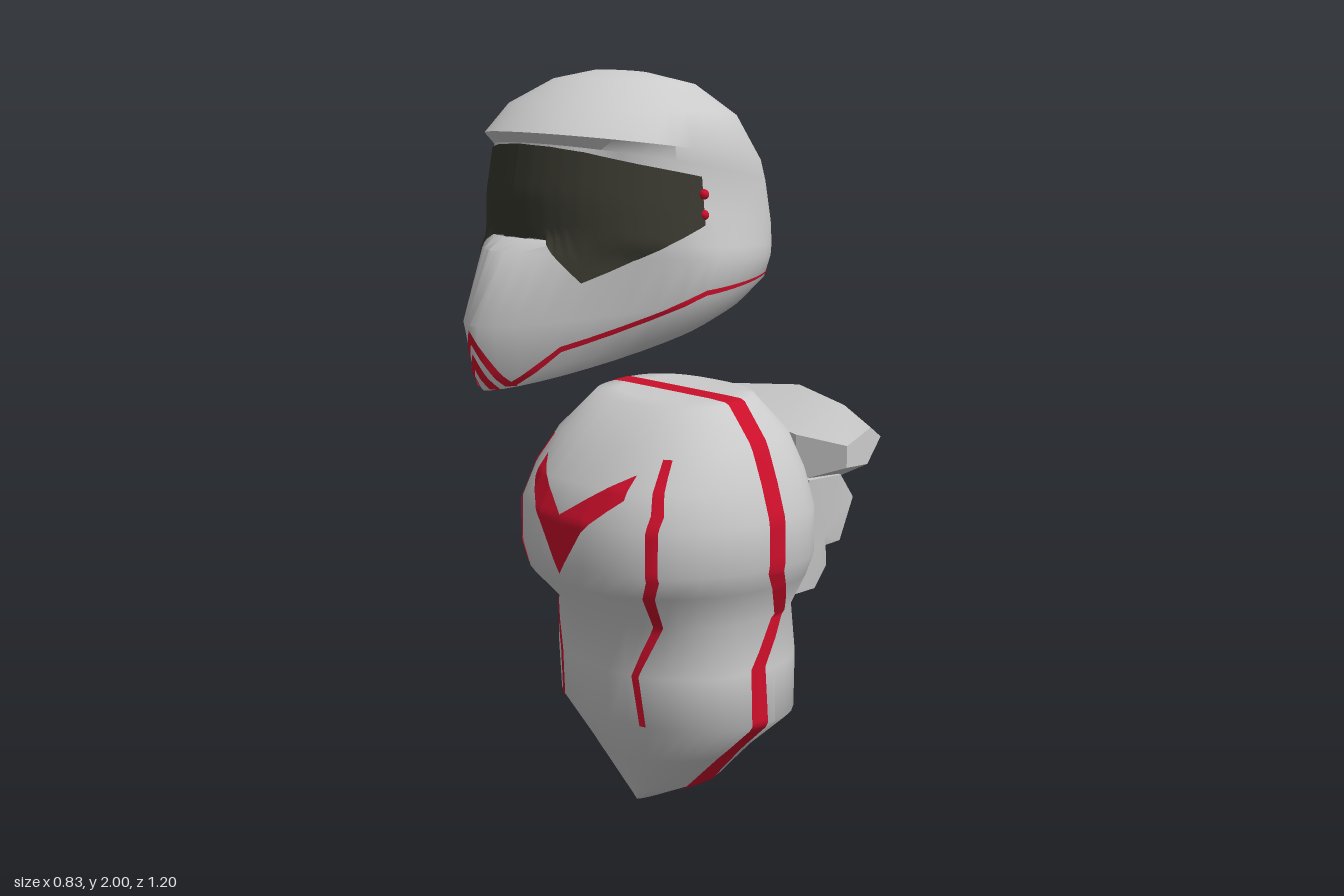
import * as THREE from 'three';
import { toCreasedNormals } from 'three/addons/utils/BufferGeometryUtils.js';

const grey = new THREE.MeshStandardMaterial({ color: 0xcccccc, side: THREE.DoubleSide });
const red = new THREE.MeshStandardMaterial({ color: 0xcc0f2b, side: THREE.DoubleSide });
const dark = new THREE.MeshStandardMaterial({ color: 0x38382f, side: THREE.DoubleSide });

// Skin a list of closed rings (arrays of Vector3) and cap both ends.
function loft(name, rings, crease) {
  const n = rings[0].length, last = rings.length - 1, pos = [], idx = [];
  const mid = r => r.reduce((s, p) => s.add(p), new THREE.Vector3()).divideScalar(n);
  rings.forEach(r => r.forEach(p => pos.push(p.x, p.y, p.z)));
  pos.push(...mid(rings[0]).toArray(), ...mid(rings[last]).toArray());
  for (let j = 0; j < n; j++) {
    const k = (j + 1) % n;
    for (let i = 0; i < last; i++) {
      const a = i * n + j, b = i * n + k;
      idx.push(a, b, b + n, a, b + n, a + n);
    }
    idx.push((last + 1) * n, k, j, (last + 1) * n + 1, last * n + j, last * n + k);
  }
  const g = new THREE.BufferGeometry();
  g.setAttribute('position', new THREE.Float32BufferAttribute(pos, 3));
  g.setIndex(idx);
  const mesh = new THREE.Mesh(toCreasedNormals(g, crease), grey);
  mesh.name = name;
  return mesh;
}

// Tilted ring: front y/z, back y/z, half width, z of the widest point, front and back roundness.
function ring([yf, zf, yb, zb, hw, zc, ef, eb], n = 36) {
  const pw = (v, e) => Math.sign(v) * Math.abs(v) ** (2 / e);
  return Array.from({ length: n }, (_, j) => {
    const a = (j / n) * Math.PI * 2, c = Math.cos(a), e = c > 0 ? ef : eb;
    const z = zc + (c > 0 ? zf - zc : zc - zb) * pw(c, e);
    return new THREE.Vector3(hw * pw(Math.sin(a), e), yb + (yf - yb) * (z - zb) / (zf - zb), z);
  });
}

// Rays that lay flat markings onto a surface: [origin, direction] for a 2D point.
const V = (x, y, z) => new THREE.Vector3(x, y, z);
const fromFront = s => (u, v) => [V(s * u, v, 3), V(0, 0, -1)];
const fromBack = s => (u, v) => [V(s * u, v, -3), V(0, 0, 1)];
const fromSide = s => (u, v) => [V(s * 3, v, u), V(-s, 0, 0)];
const fromTop = s => (u, v) => [V(s * u, 3, v), V(0, -1, 0)];
const fromRound = s => (u, v) => {
  const a = s * THREE.MathUtils.degToRad(u), d = V(Math.sin(a), 0, Math.cos(a));
  return [V(0, v, 0.1).addScaledVector(d, 3), d.clone().negate()];
};

// A strip between two edge paths, laid just above the target surface.
function marking(name, target, rayOf, A, B, mat = red, across = 3, along = 12) {
  const caster = new THREE.Raycaster(), pos = [], ok = [], idx = [], w = across + 1;
  const rows = (A.length - 1) * along;
  for (let i = 0; i <= rows; i++) {
    const s = Math.min(Math.floor(i / along), A.length - 2), t = i / along - s;
    const at = (P, k) => P[s][k] + (P[s + 1][k] - P[s][k]) * t;
    for (let j = 0; j <= across; j++) {
      const f = j / across;
      const [o, d] = rayOf(at(A, 0) * (1 - f) + at(B, 0) * f, at(A, 1) * (1 - f) + at(B, 1) * f);
      caster.set(o.add(V(1.3e-5, 1.7e-5, 1.1e-5)), d);
      const hit = caster.intersectObject(target)[0];
      ok.push(!!hit);
      pos.push(...(hit ? hit.point.addScaledVector(hit.face.normal, 0.004) : V(0, 1, 0)).toArray());
    }
  }
  for (let i = 0; i < rows; i++) for (let j = 0; j < across; j++) {
    const a = i * w + j;
    for (const t of [[a, a + 1, a + w + 1], [a, a + w + 1, a + w]]) if (t.every(k => ok[k])) idx.push(...t);
  }
  const g = new THREE.BufferGeometry();
  g.setAttribute('position', new THREE.Float32BufferAttribute(pos, 3));
  g.setIndex(idx);
  g.computeVertexNormals();
  const mesh = new THREE.Mesh(g, mat);
  mesh.name = name;
  return mesh;
}

// Skin sections across x; each section is a list of [z, y], mirrored to the other side.
function mirroredLoft(name, sections) {
  const all = [...sections, ...sections.slice(0, -1).reverse().map(s => ({ ...s, x: -s.x }))];
  return loft(name, all.map(s => s.p.map(([z, y], i) => V(s.x * (s.taper?.[i] ?? 1), y, z))), 0.6);
}

export function createModel() {
  const model = new THREE.Group();
  model.name = 'armour';

  // Torso shell
  const torso = loft('torso', [
    [0, 0.07, 0, -0.21, 0.02, -0.07, 2, 2],
    [0.04, 0.09, 0.04, -0.235, 0.1, -0.07, 2, 2],
    [0.16, 0.155, 0.16, -0.31, 0.22, -0.07, 2, 2],
    [0.29, 0.22, 0.27, -0.365, 0.35, -0.07, 2.1, 2.2],
    [0.43, 0.23, 0.43, -0.37, 0.34, -0.07, 2.2, 2.3],
    [0.57, 0.225, 0.57, -0.345, 0.332, -0.07, 2.3, 2.4],
    [0.67, 0.325, 0.67, -0.345, 0.385, -0.07, 2.2, 2.7],
    [0.73, 0.33, 0.73, -0.348, 0.41, -0.07, 2.3, 2.8],
    [0.85, 0.33, 0.86, -0.348, 0.408, -0.07, 2.3, 2.8],
    [0.94, 0.285, 0.96, -0.33, 0.375, -0.07, 2.4, 2.8],
    [1.03, 0.205, 1.06, -0.295, 0.335, -0.07, 2.5, 2.7],
    [1.13, 0.1, 1.16, -0.215, 0.245, -0.07, 2.6, 2.6],
    [1.14, 0.05, 1.155, -0.18, 0.18, -0.07, 2.6, 2.6],
  ].map(r => ring(r)), 0.9);

  // Helmet shell with jutting chin and brow
  const helmet = loft('helmet', [
    [1.215, 0.56, 1.445, -0.22, 0.26, 0.1, 1.5, 2],
    [1.25, 0.578, 1.46, -0.245, 0.295, 0.1, 1.5, 2],
    [1.38, 0.6, 1.49, -0.275, 0.35, 0.1, 1.5, 2],
    [1.56, 0.52, 1.52, -0.287, 0.365, 0.1, 1.6, 2],
    [1.59, 0.455, 1.55, -0.295, 0.36, 0.1, 2.1, 2],
    [1.7, 0.457, 1.6, -0.3, 0.347, 0.1, 2.1, 2],
    [1.823, 0.437, 1.7, -0.285, 0.332, 0.1, 2.1, 2],
    [1.85, 0.47, 1.76, -0.257, 0.338, 0.1, 2.1, 2],
    [1.92, 0.4, 1.88, -0.18, 0.292, 0.1, 2.1, 2],
    [1.98, 0.28, 1.96, -0.06, 0.2, 0.1, 2, 2],
    [2, 0.18, 1.99, 0.05, 0.08, 0.12, 2, 2],
  ].map(r => ring(r, 44)), 0.75);

  // Backpack: jutting top wing and stepped body
  const wing = mirroredLoft('packWing', [
    { x: 0.37, p: [[-0.36, 0.95], [-0.36, 1.01], [-0.45, 1.05], [-0.49, 1.02], [-0.44, 0.95]] },
    { x: 0.24, p: [[-0.295, 0.9], [-0.295, 1.03], [-0.48, 1.09], [-0.535, 0.97], [-0.46, 0.89]] },
    { x: 0, p: [[-0.34, 0.88], [-0.35, 1.04], [-0.54, 1.11], [-0.6, 0.95], [-0.5, 0.87]] },
  ]);
  const taper = [0.85, 1, 1, 1, 0.97, 0.92, 0.9, 0.85];
  const pack = mirroredLoft('packBody', [
    { x: 0.29, taper, p: [[-0.27, 0.58], [-0.3, 0.91], [-0.42, 0.91], [-0.47, 0.84], [-0.43, 0.72], [-0.39, 0.71], [-0.4, 0.65], [-0.37, 0.585]] },
    { x: 0.2, taper, p: [[-0.28, 0.57], [-0.34, 0.91], [-0.45, 0.905], [-0.51, 0.82], [-0.46, 0.705], [-0.42, 0.695], [-0.43, 0.635], [-0.4, 0.57]] },
    { x: 0, taper, p: [[-0.28, 0.56], [-0.34, 0.9], [-0.5, 0.89], [-0.56, 0.8], [-0.5, 0.69], [-0.46, 0.68], [-0.47, 0.62], [-0.44, 0.55]] },
  ]);
  model.add(torso, helmet, wing, pack);

  for (const s of [1, -1]) {
    const side = s > 0 ? 'left' : 'right';
    const add = (name, ...rest) => model.add(marking(side + name, ...rest));

    // Visor
    add('Visor', helmet, fromRound(s),
      [[0, 1.82], [18, 1.815], [34, 1.803], [56, 1.775], [84, 1.742]],
      [[0, 1.592], [18, 1.587], [34, 1.49], [56, 1.55], [84, 1.625]], dark, 12, 10);

    // Studs behind the visor
    for (const y of [1.65, 1.7]) {
      const stud = new THREE.Mesh(new THREE.SphereGeometry(0.013, 10, 8), red);
      stud.name = side + 'Stud';
      stud.position.set(s * 0.345, y, 0.135);
      model.add(stud);
    }

    // Helmet stripes
    add('JawStripe', helmet, fromSide(s),
      [[-0.15, 1.492], [0.13, 1.465], [0.45, 1.335], [0.535, 1.235]],
      [[-0.15, 1.488], [0.13, 1.452], [0.445, 1.322], [0.515, 1.235]]);
    add('ChinOuterStripe', helmet, fromFront(s), [[0, 1.37], [0.085, 1.222]], [[0, 1.335], [0.062, 1.222]]);
    add('ChinInnerStripe', helmet, fromFront(s), [[0, 1.31], [0.045, 1.222]], [[0, 1.27], [0.022, 1.222]]);

    // Torso markings
    add('ChestChevron', torso, fromFront(s),
      [[0, 0.858], [0.11, 0.93], [0.19, 0.98]], [[0, 0.7], [0.09, 0.83], [0.19, 0.92]], red, 10);
    add('FrontStripe', torso, fromFront(s),
      [[0.25, 1.02], [0.29, 0.89], [0.29, 0.72], [0.168, 0.43], [0.18, 0.29]],
      [[0.23, 1.02], [0.265, 0.89], [0.265, 0.72], [0.148, 0.43], [0.162, 0.29]]);
    add('SideBand', torso, fromSide(s),
      [[-0.04, 1.135], [-0.04, 0.72], [-0.13, 0.58], [-0.045, 0.44], [-0.04, 0.2], [-0.02, 0.004]],
      [[-0.095, 1.135], [-0.095, 0.72], [-0.178, 0.58], [-0.095, 0.44], [-0.1, 0.2], [-0.135, 0.004]], red, 4, 20);
    add('ShoulderBand', torso, fromTop(s), [[0, -0.04], [0.26, -0.04]], [[0, -0.095], [0.26, -0.095]], red, 3, 20);

    // Backpack markings
    add('PackChevron', pack, fromBack(s), [[0, 0.885], [0.27, 0.9]], [[0, 0.8], [0.27, 0.875]], red, 6, 20);
    add('PackThinStripe', pack, fromBack(s), [[0, 0.672], [0.25, 0.7]], [[0, 0.66], [0.25, 0.688]], red, 2, 20);
    add('PackLowerStripe', pack, fromBack(s), [[0, 0.59], [0.24, 0.622]], [[0, 0.553], [0.24, 0.588]], red, 3, 20);
  }
  return model;
}
